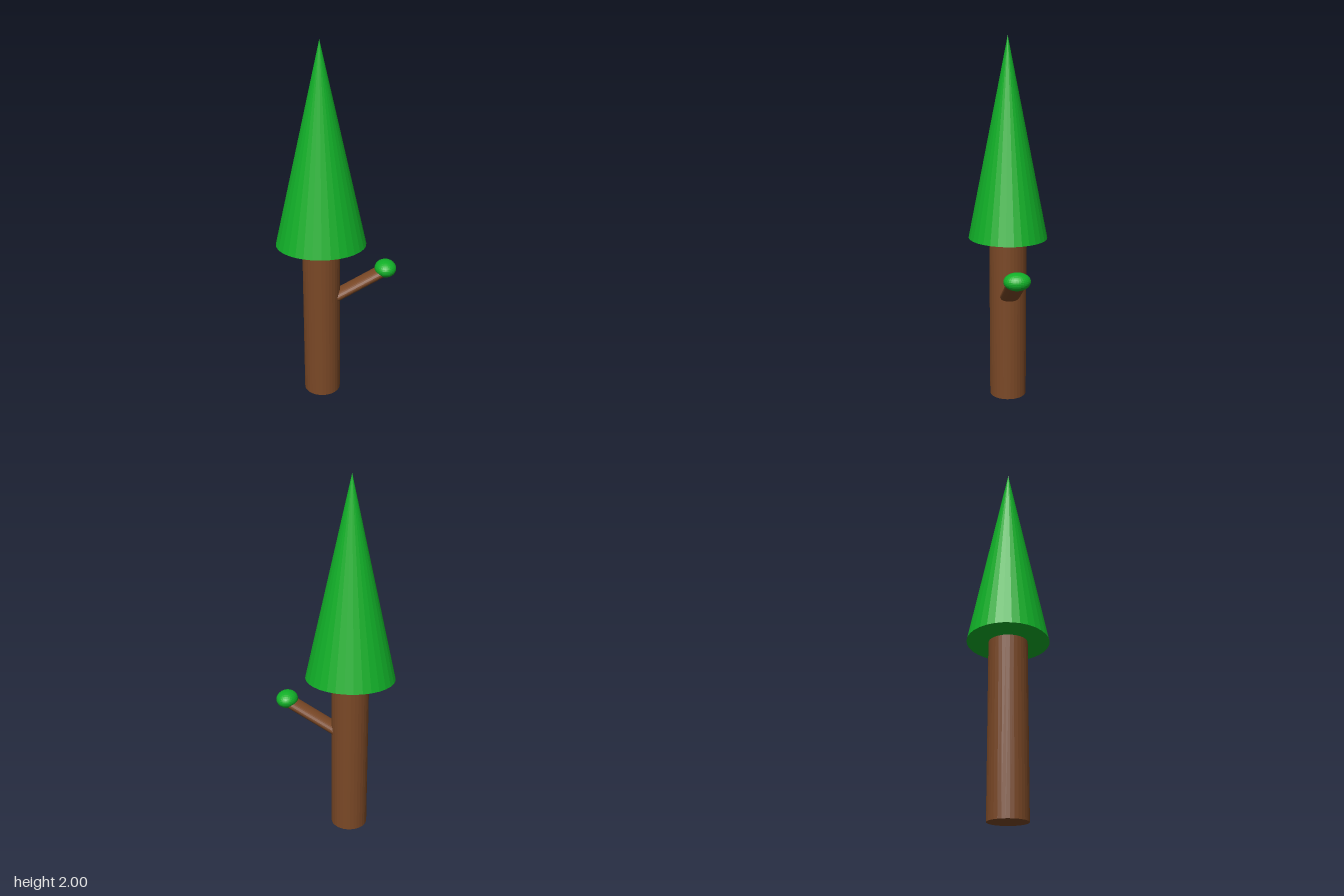
import * as THREE from 'three';

export function createModel() {
  const tree = new THREE.Group();
  tree.name = 'tree';

  const bark = new THREE.MeshStandardMaterial({ color: 0x7a4826, flatShading: true });
  bark.name = 'bark brown';
  const leaf = new THREE.MeshStandardMaterial({ color: 0x11b028, flatShading: true });
  leaf.name = 'leaf green';

  const add = (name, geometry, material, x, y) => {
    const mesh = new THREE.Mesh(geometry, material);
    mesh.name = name;
    mesh.position.set(x, y, 0);
    tree.add(mesh);
    return mesh;
  };

  const trunkX = -0.085;

  // Trunk, reaching up to the underside of the crown
  add('trunk', new THREE.CylinderGeometry(0.103, 0.103, 0.93, 32), bark, trunkX, 0.465);

  // Crown: a tall cone, slightly wider than deep
  const crown = add('crown', new THREE.ConeGeometry(1, 1.08, 32), leaf, trunkX, 1.46);
  crown.scale.set(0.246, 1, 0.217);

  // Flattened side branch, rising 30 degrees out of the trunk
  const start = new THREE.Vector2(-0.03, 0.585);
  const end = new THREE.Vector2(0.265, 0.757);
  const mid = start.clone().lerp(end, 0.5);
  const branch = add('branch', new THREE.CylinderGeometry(1, 1, start.distanceTo(end), 32), bark, mid.x, mid.y);
  branch.scale.set(0.03, 1, 0.055);
  branch.rotation.z = end.clone().sub(start).angle() - Math.PI / 2;

  // Leaf tuft on the branch tip
  const tuft = add('leafTuft', new THREE.SphereGeometry(1, 32, 16), leaf, 0.269, 0.766);
  tuft.scale.set(0.06, 0.047, 0.071);

  return tree;
}
